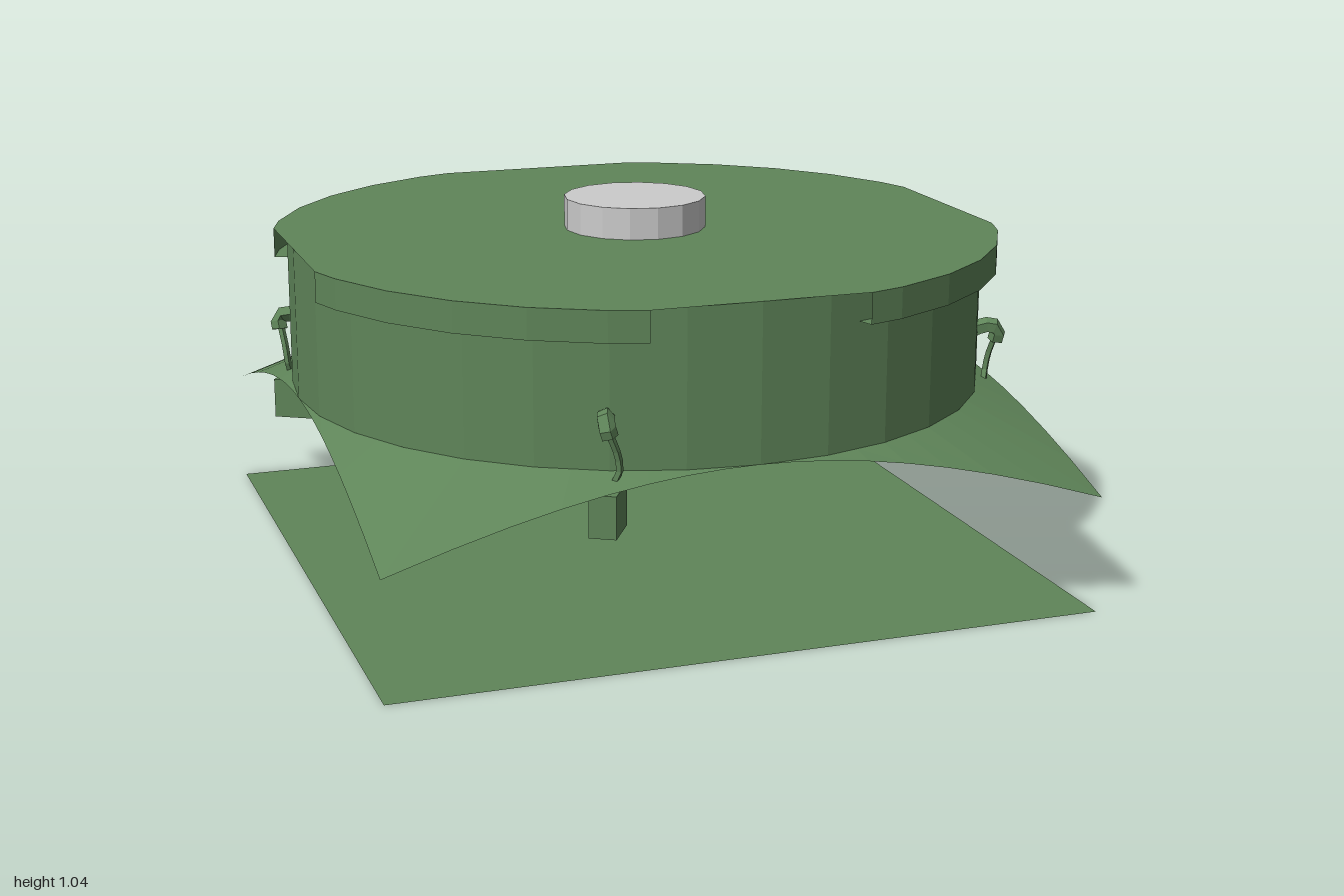
import * as THREE from 'three';

const green = new THREE.MeshStandardMaterial({ color: 0x5f8559, flatShading: true, side: THREE.DoubleSide });
const grey = new THREE.MeshStandardMaterial({ color: 0xcccccc, flatShading: true });

const DRUM_R = 1, DRUM_LOW = 0.525, CAP_R = 1.047, CAP_LOW = 0.87, CAP_TOP = 0.955;

function add(parent, name, geometry, material = green) {
  const mesh = new THREE.Mesh(geometry, material);
  mesh.name = name;
  parent.add(mesh);
  return mesh;
}

// Strip of quads between two rows of points
function strip(rowA, rowB) {
  const positions = [...rowA, ...rowB].flat();
  const n = rowA.length, index = [];
  for (let i = 0; i < n - 1; i++) index.push(i, i + 1, n + i, i + 1, n + i + 1, n + i);
  const g = new THREE.BufferGeometry();
  g.setAttribute('position', new THREE.Float32BufferAttribute(positions, 3));
  g.setIndex(index);
  g.computeVertexNormals();
  return g;
}

// Outline of one rounded cap corner, between two flat sides
function cornerArc(quarter) {
  const pts = [[1, 0.3]];
  for (let i = 2; i <= 6; i++) {
    const a = i * Math.PI / 16;
    pts.push([CAP_R * Math.cos(a), CAP_R * Math.sin(a)]);
  }
  pts.push([0.3, 1]);
  const c = Math.round(Math.cos(quarter * Math.PI / 2)), s = Math.round(Math.sin(quarter * Math.PI / 2));
  return pts.map(([x, z]) => [x * c - z * s, x * s + z * c]);
}

function flatSheet(points, y, hole) {
  const shape = new THREE.Shape(points.map(([x, z]) => new THREE.Vector2(x, -z)));
  if (hole) shape.holes.push(hole);
  return new THREE.ShapeGeometry(shape, 8).rotateX(-Math.PI / 2).translate(0, y, 0);
}

function tube(points, radius, steps, sides) {
  const curve = new THREE.CatmullRomCurve3(points.map(p => new THREE.Vector3(...p)));
  return new THREE.TubeGeometry(curve, steps, radius, sides);
}

// Block hanging from the drum wall on a bent strap
function hanger() {
  const g = new THREE.Group();
  g.name = 'hanger';
  const block = add(g, 'hangingBlock', new THREE.BoxGeometry(0.073, 0.115, 0.121));
  block.position.set(-0.39, 0.422, 0.93);
  block.rotation.y = -31 * Math.PI / 180;
  add(g, 'wallHook', tube([[-0.385, 0.66, 0.9], [-0.4, 0.675, 0.945], [-0.41, 0.665, 0.975], [-0.4, 0.63, 0.975]], 0.024, 5, 5));
  add(g, 'strap', tube([[-0.4, 0.64, 0.972], [-0.375, 0.58, 0.965], [-0.368, 0.53, 0.96], [-0.39, 0.485, 0.945]], 0.01, 6, 4));
  const knot = add(g, 'strapKnot', new THREE.IcosahedronGeometry(0.03, 0));
  knot.position.set(-0.395, 0.482, 0.945);
  return g;
}

export function createModel() {
  const model = new THREE.Group();
  model.name = 'drumOnBase';

  // Square base sheet on the ground
  add(model, 'baseSheet', flatSheet([[-1, 1], [1, 1], [1, -1], [-1, -1]], 0));

  // Conical skirt trimmed to the square
  const inner = [], outer = [];
  for (let i = 0; i <= 64; i++) {
    const a = i * Math.PI / 32, c = Math.cos(a), s = Math.sin(a);
    const r = 1 / Math.max(Math.abs(c), Math.abs(s));
    const ri = DRUM_R * 0.995;
    inner.push([ri * c, DRUM_LOW, ri * s]);
    outer.push([r * c, DRUM_LOW - (r - 1) * 0.47, r * s]);
  }
  add(model, 'skirt', strip(inner, outer));

  // Drum wall and floor
  const height = CAP_TOP - DRUM_LOW;
  add(model, 'drumWall', new THREE.CylinderGeometry(DRUM_R, DRUM_R, height, 32, 1, true))
    .position.y = DRUM_LOW + height / 2;
  add(model, 'drumFloor', new THREE.CircleGeometry(DRUM_R, 32).rotateX(Math.PI / 2))
    .position.y = DRUM_LOW;

  // Cap: top plate with four open flats, rim and underside at each corner
  const outline = [0, 1, 2, 3].flatMap(cornerArc);
  add(model, 'capTop', flatSheet(outline, CAP_TOP));
  for (let q = 0; q < 4; q++) {
    const arc = cornerArc(q);
    const low = arc.map(([x, z]) => [x, CAP_LOW, z]);
    add(model, 'capRim', strip(low, arc.map(([x, z]) => [x, CAP_TOP, z])));
    const inside = arc.map(([x, z]) => {
      const k = DRUM_R * 0.995 / Math.hypot(x, z);
      return [x * k, CAP_LOW, z * k];
    });
    add(model, 'capUnderside', strip(inside, low));
  }

  // Round button on top
  add(model, 'button', new THREE.CylinderGeometry(0.205, 0.205, 0.09, 16), grey).position.y = 1.0;

  // Four hangers around the drum
  for (let q = 0; q < 4; q++) {
    const h = hanger();
    h.rotation.y = q * Math.PI / 2;
    model.add(h);
  }
  return model;
}
